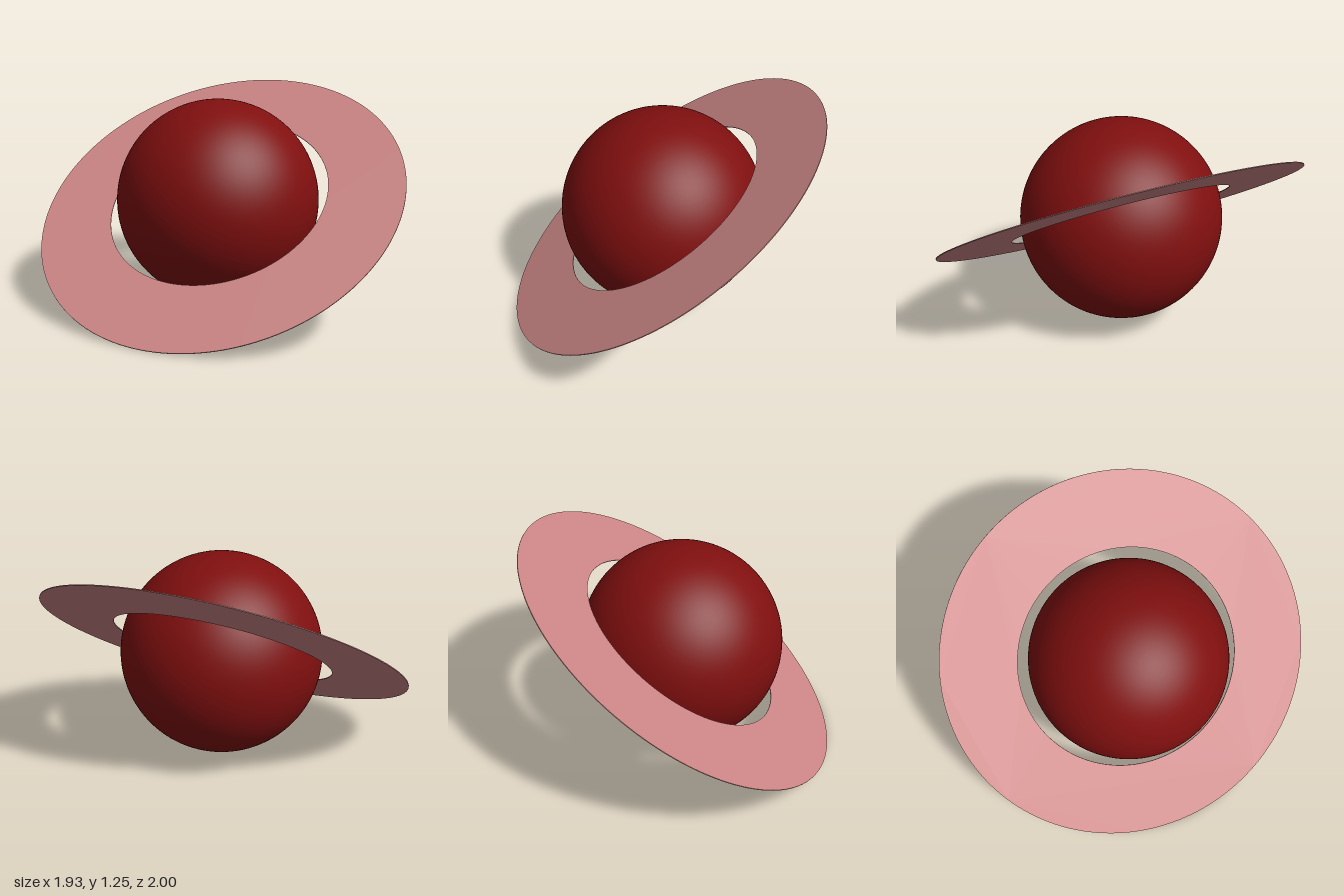
import * as THREE from 'three';

export function createModel() {
  const model = new THREE.Group();

  // Planet globe
  const globe = new THREE.Mesh(
    new THREE.SphereGeometry(0.58, 96, 64),
    new THREE.MeshStandardMaterial({ color: 0x800f0f })
  );
  globe.name = 'globe';
  globe.position.set(0.006, 0.616, -0.004);
  model.add(globe);

  // Thin flat annulus around the globe
  const thickness = 0.005;
  const outline = new THREE.Shape().absarc(0, 0, 1.075, 0, Math.PI * 2, false);
  outline.holes.push(new THREE.Path().absarc(0, 0, 0.645, 0, Math.PI * 2, true));
  const ringGeometry = new THREE.ExtrudeGeometry(outline, {
    depth: thickness, bevelEnabled: false, curveSegments: 128
  });
  ringGeometry.translate(0, 0, -thickness / 2);

  const ring = new THREE.Mesh(
    ringGeometry,
    new THREE.MeshStandardMaterial({ color: 0xcc8686 })
  );
  ring.name = 'ring';
  // Tilt the ring so that its axis leans to the right and forward
  const axis = new THREE.Vector3(-0.446, 0.8155, 0.368).normalize();
  ring.quaternion.setFromUnitVectors(new THREE.Vector3(0, 0, 1), axis);
  ring.position.set(0, 0.626, 0);
  model.add(ring);

  return model;
}
